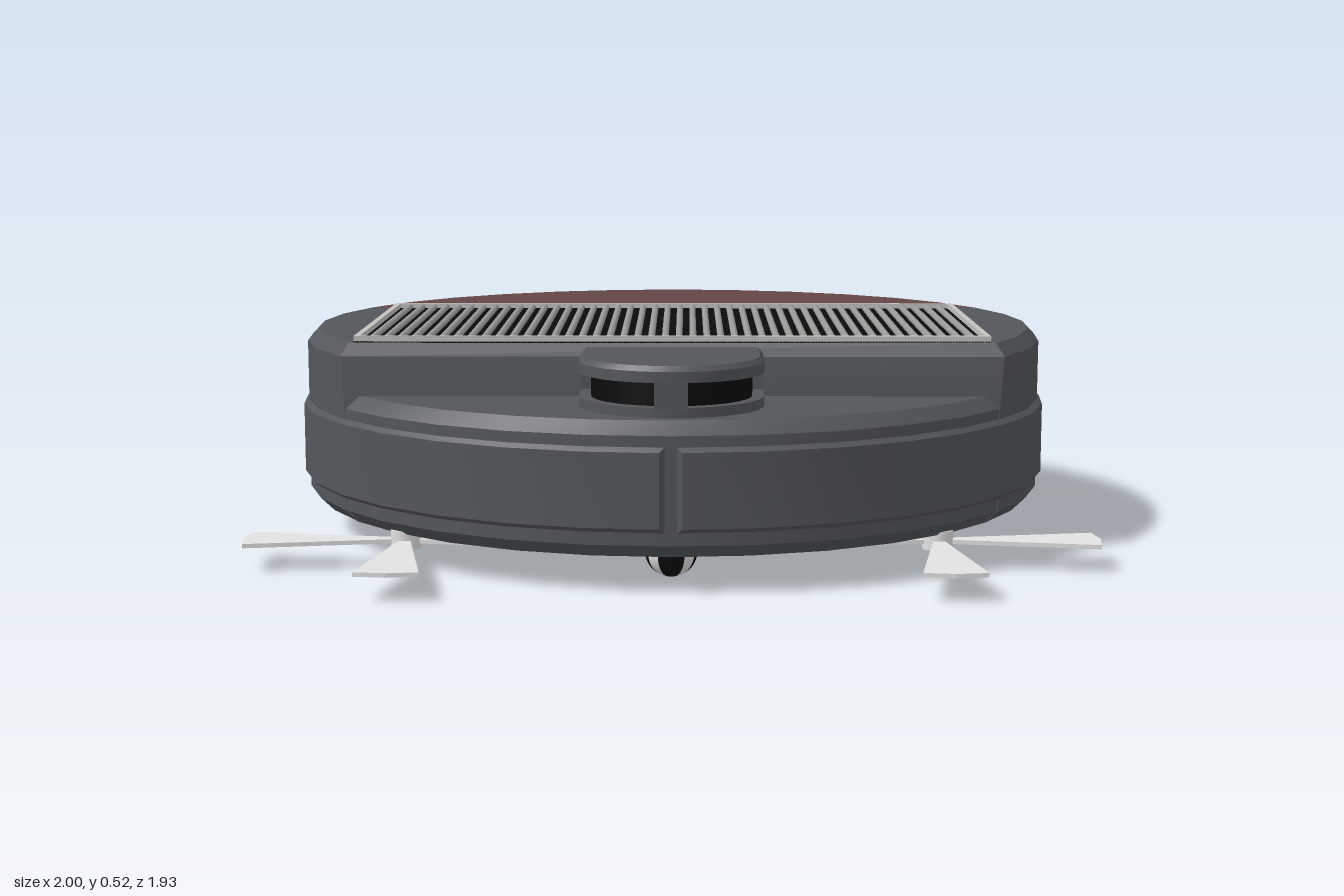
import * as THREE from 'three';
import { toCreasedNormals } from 'three/addons/utils/BufferGeometryUtils.js';

const mat = (name, color) =>
  Object.assign(new THREE.MeshStandardMaterial({ color }), { name });

// Closed solid through convex rings of [x, y, z] points, capped at both ends
function loft(rings) {
  const n = rings[0].length, pos = [];
  const tri = (a, b, c) => pos.push(...a, ...b, ...c);
  for (let i = 0; i < rings.length - 1; i++) {
    for (let j = 0; j < n; j++) {
      const k = (j + 1) % n, lo = rings[i], hi = rings[i + 1];
      tri(lo[j], lo[k], hi[k]);
      tri(lo[j], hi[k], hi[j]);
    }
  }
  const first = rings[0], last = rings[rings.length - 1];
  for (let j = 1; j < n - 1; j++) {
    tri(first[0], first[j + 1], first[j]);
    tri(last[0], last[j], last[j + 1]);
  }
  const g = new THREE.BufferGeometry();
  g.setAttribute('position', new THREE.Float32BufferAttribute(pos, 3));
  return toCreasedNormals(g, 0.4);
}

const ZC = -0.035; // centre of the round body

// Outline of the part of a disc that lies between two z planes
function discSlice(r, y, zBack, zFront, steps) {
  const angle = z => Math.acos(THREE.MathUtils.clamp((z - ZC) / r, -1, 1));
  const a0 = angle(zFront), a1 = angle(zBack), right = [];
  for (let i = 0; i <= steps; i++) {
    const a = a0 + (a1 - a0) * i / steps;
    right.push([r * Math.sin(a), y, ZC + r * Math.cos(a)]);
  }
  return [...right, ...right.map(([x, yy, z]) => [-x, yy, z]).reverse()];
}

// U-shaped outline of the sensor turret
function turretRing(w, y) {
  const zc = 0.62, side = [];
  for (let i = 0; i <= 8; i++) {
    const a = i / 8 * Math.PI / 2;
    side.push([w * Math.sin(a), y, zc + w * Math.cos(a)]);
  }
  side.push([w, y, 0.465]);
  return [...side, ...side.map(([x, yy, z]) => [-x, yy, z]).reverse()];
}

export function createModel() {
  const root = new THREE.Group();
  const shell = mat('slate shell', 0x53575b);
  const red = mat('dull red', 0x634646);
  const metal = mat('grille grey', 0x9c9a97);
  const frameMat = mat('frame grey', 0xc4c2bf);
  const black = mat('black', 0x0b0b0b);
  const pale = mat('pale grey', 0xe2e2e2);

  const add = (name, geo, material, x = 0, y = 0, z = 0, parent = root) => {
    const m = new THREE.Mesh(geo, material);
    m.name = name;
    m.position.set(x, y, z);
    parent.add(m);
    return m;
  };
  const box = (name, w, h, d, material, x, y, z) =>
    add(name, new THREE.BoxGeometry(w, h, d), material, x, y, z);

  // Body: red rear, tall middle, low front ledge
  const profile = [[0.9, 0.08], [0.93, 0.11], [0.93, 0.36], [0.93, 0.477], [0.902, 0.507]];
  const wallZ = [0.48, 0.48, 0.48, 0.465, 0.44];
  add('rearShell', loft(profile.map(([r, y]) => discSlice(r, y, -2, -0.4, 6))), red);
  add('middleShell', loft(profile.map(([r, y], i) => discSlice(r, y, -0.4, wallZ[i], 5))), shell);
  const ledge = [[0.9, 0.08], [0.93, 0.11], [0.93, 0.355], [0.9, 0.385]];
  add('frontShell', loft(ledge.map(([r, y]) => discSlice(r, y, 0.46, 2, 5))), shell);

  // Bumper: two curved bevelled panels with a gap at the front
  const bumper = (a0, a1) => {
    const rings = [], bevel = 0.012;
    const stops = [a0, a0 + bevel];
    for (let i = 1; i < 8; i++) stops.push(a0 + (a1 - a0) * i / 8);
    stops.push(a1 - bevel, a1);
    stops.forEach((a, i) => {
      const end = i === 0 || i === stops.length - 1;
      const R = end ? 0.932 : 0.943, e = end ? 0 : 0.01;
      const section = [[0.932, 0.33], [R, 0.33 - e], [R, 0.14 + e], [0.932, 0.14], [0.9, 0.14], [0.9, 0.33]];
      rings.push(section.map(([r, y]) => [r * Math.sin(a), y, ZC + r * Math.cos(a)]));
    });
    return loft(rings);
  };
  add('bumperLeft', bumper(0.015, Math.PI / 2), shell);
  add('bumperRight', bumper(-Math.PI / 2, -0.015), shell);

  // Sensor turret with a dark slot along each side
  add('turretBase', loft([turretRing(0.213, 0.37), turretRing(0.213, 0.408)]), shell);
  add('turretCore', loft([turretRing(0.185, 0.4), turretRing(0.185, 0.47)]), black);
  add('turretCap', loft([turretRing(0.213, 0.463), turretRing(0.213, 0.488), turretRing(0.203, 0.5)]), shell);
  box('turretFrontPost', 0.075, 0.07, 0.04, shell, 0, 0.435, 0.811);
  box('turretRearBlock', 0.426, 0.07, 0.06, shell, 0, 0.435, 0.49);

  // Top grille: dark bed, frame and round slats
  const gz = 0.04, gw = 1.51, gd = 0.8;
  box('grilleBed', gw, 0.005, gd, black, 0, 0.508, gz);
  for (const s of [-1, 1]) {
    box('grilleFrameSide', 0.014, 0.016, gd, frameMat, s * (gw / 2 - 0.007), 0.515, gz);
    box('grilleFrameEnd', gw, 0.016, 0.014, frameMat, 0, 0.515, gz + s * (gd / 2 - 0.007));
  }
  const slatGeo = new THREE.CylinderGeometry(0.0085, 0.0085, gd - 0.02, 10, 1, true);
  for (let i = 0; i < 44; i++) {
    add('grilleSlat', slatGeo, metal, (i - 21.5) * 0.0333, 0.513, gz).rotation.x = Math.PI / 2;
  }

  // Drive wheels: open rings with a raised outer flange
  const wheelProfile = [[0.143, -0.06], [0.185, -0.06], [0.185, 0.03], [0.2, 0.03], [0.2, 0.06], [0.143, 0.06], [0.143, -0.06]]
    .map(([r, x]) => new THREE.Vector2(r, x));
  const wheelGeo = toCreasedNormals(new THREE.LatheGeometry(wheelProfile, 14, Math.PI / 2), 0.5);
  for (const s of [-1, 1]) {
    add('driveWheel', wheelGeo, shell, s * 0.625, 0.2, -0.035).rotation.z = -s * Math.PI / 2;
  }

  // Main roller brush
  add('roller', new THREE.CylinderGeometry(0.062, 0.062, 1, 24), pale, 0, 0.082, -0.035)
    .rotation.z = Math.PI / 2;

  // Caster ball: broad black and narrow pale wedges
  const wide = Math.PI / 3, narrow = Math.PI / 6;
  for (let i = 0; i < 4; i++) {
    const start = i * Math.PI / 2 - wide / 2;
    add('casterDark', new THREE.SphereGeometry(0.06, 6, 16, start, wide), black, 0, 0.073, 0.755);
    add('casterStripe', new THREE.SphereGeometry(0.06, 3, 16, start + wide, narrow), pale, 0, 0.073, 0.755);
  }

  // Side brushes: hub with four flared blades
  const blade = new THREE.Shape([[0.02, -0.012], [0.37, -0.072], [0.38, 0], [0.37, 0.072], [0.02, 0.012]]
    .map(p => new THREE.Vector2(...p)));
  const bladeGeo = new THREE.ExtrudeGeometry(blade, { depth: 0.01, bevelEnabled: false });
  bladeGeo.rotateX(-Math.PI / 2);
  for (const s of [-1, 1]) {
    const brush = new THREE.Group();
    brush.name = s > 0 ? 'sideBrushLeft' : 'sideBrushRight';
    brush.position.set(s * 0.62, 0, 0.585);
    add('brushHub', new THREE.CylinderGeometry(0.036, 0.036, 0.045, 16), pale, 0, 0.065, 0, brush);
    for (let i = 0; i < 4; i++) {
      add('brushBlade', bladeGeo, pale, 0, 0.055, 0, brush).rotation.y = i * Math.PI / 2;
    }
    root.add(brush);
  }
  return root;
}
